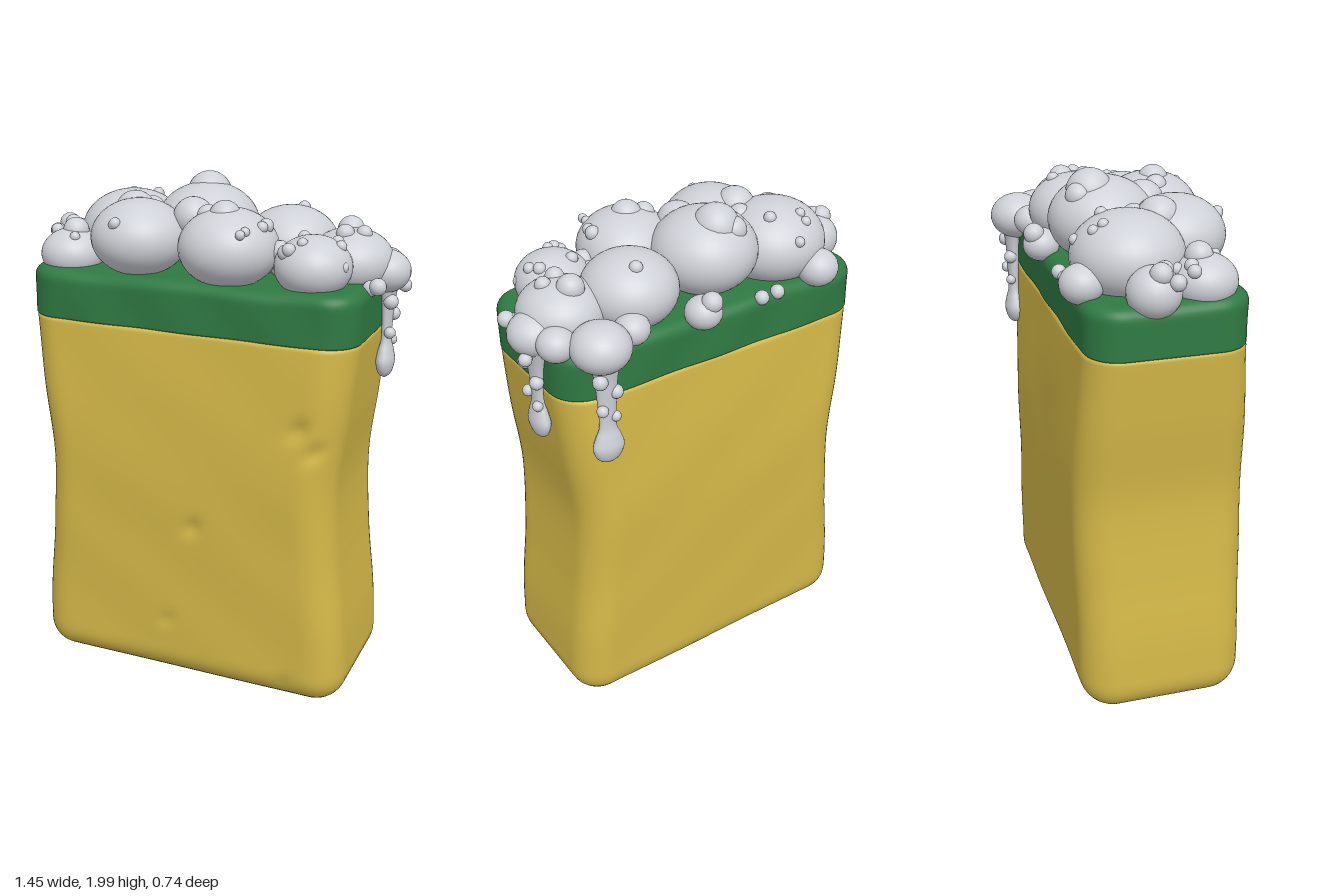
import * as THREE from 'three';

const mat = (name, color) => {
  const m = new THREE.MeshStandardMaterial({ color });
  m.name = name;
  return m;
};

const CX = -0.033, CZ = 0.033; // centre of the sponge in plan

// Points of a rounded rectangle, always the same count, running from +x towards +z
function roundedRing(hx, hz, r) {
  const pts = [];
  const nx = 44, nz = 20, nc = 10;
  const corners = [[1, 1, 0], [-1, 1, 1], [-1, -1, 2], [1, -1, 3]];
  corners.forEach(([sx, sz, q], k) => {
    const at = (s, t, a) => [s * (hx - r) + r * Math.cos(a), t * (hz - r) + r * Math.sin(a)];
    for (let i = 0; i <= nc; i++) pts.push(at(sx, sz, (q + i / nc) * Math.PI / 2));
    const [ex, ez, eq] = corners[(k + 1) % 4];
    const from = pts[pts.length - 1], to = at(ex, ez, eq * Math.PI / 2);
    const n = k % 2 === 0 ? nx : nz;
    for (let i = 1; i < n; i++) {
      pts.push([from[0] + (to[0] - from[0]) * i / n, from[1] + (to[1] - from[1]) * i / n]);
    }
  });
  return pts;
}

// Stacks rounded rectangles into a closed block with filleted bottom and top edges
function softBlock(y0, y1, rBottom, rTop, size, corner, deform) {
  const rows = [];
  for (let i = 0; i <= 8; i++) {
    const a = i / 8 * Math.PI / 2;
    rows.push([y0 + rBottom * (1 - Math.cos(a)), rBottom * (1 - Math.sin(a))]);
  }
  const steps = Math.max(3, Math.round((y1 - y0) * 45));
  const lo = y0 + rBottom, hi = y1 - rTop;
  for (let i = 1; i < steps; i++) rows.push([lo + (hi - lo) * i / steps, 0]);
  for (let i = 0; i <= 6; i++) {
    const a = i / 6 * Math.PI / 2;
    rows.push([hi + rTop * Math.sin(a), rTop * (1 - Math.cos(a))]);
  }
  const pos = [], idx = [];
  let n = 0;
  for (const [y, inset] of rows) {
    const [hx, hz] = size(y);
    const ring = roundedRing(hx - inset, hz - inset, Math.max(corner - inset, 0.01));
    n = ring.length;
    for (const [x, z] of ring) pos.push(...deform(x + CX, y, z + CZ));
  }
  for (let i = 0; i < rows.length - 1; i++) {
    for (let j = 0; j < n; j++) {
      const a = i * n + j, b = i * n + (j + 1) % n;
      idx.push(a, a + n, b, b, a + n, b + n);
    }
  }
  const bottom = pos.length / 3, top = bottom + 1, last = (rows.length - 1) * n;
  pos.push(CX, y0, CZ, CX, y1, CZ);
  for (let j = 0; j < n; j++) {
    const k = (j + 1) % n;
    idx.push(bottom, j, k, top, last + k, last + j);
  }
  const g = new THREE.BufferGeometry();
  g.setAttribute('position', new THREE.Float32BufferAttribute(pos, 3));
  g.setIndex(idx);
  g.computeVertexNormals();
  return g;
}

export function createModel() {
  const group = new THREE.Group();
  const yellow = mat('spongeYellow', 0xd4b848);
  const green = mat('scourerGreen', 0x2f7a43);
  const foam = mat('foamGrey', 0xced1d7);
  const add = (name, geo, material, parent = group) => {
    const m = new THREE.Mesh(geo, material);
    m.name = name;
    parent.add(m);
    return m;
  };

  // Sponge: waisted block, half width and half depth at every 0.3 of height
  const waist = new THREE.CatmullRomCurve3(
    [[0.66, 0.315], [0.645, 0.318], [0.612, 0.322], [0.596, 0.325], [0.629, 0.315], [0.657, 0.296]]
      .map(([hx, hz], i) => new THREE.Vector3(hx, i * 0.3, hz)), false, 'catmullrom', 0.5);
  const spongeSize = (y) => {
    const p = waist.getPoint(THREE.MathUtils.clamp(y / 1.5, 0, 1));
    return [p.x, p.z];
  };
  // Small dents on the front face: x, y, radius, depth
  const dents = [[0.02, 0.7, 0.04, 0.016], [0.44, 1.16, 0.045, 0.018], [0.5, 1.08, 0.04, 0.016],
    [-0.1, 0.27, 0.035, 0.009], [0.4, 0.09, 0.04, 0.01]];
  add('sponge', softBlock(0, 1.475, 0.125, 0.02, spongeSize, 0.13, (x, y, z) => {
    const side = Math.sign(z - CZ);
    let w = z + side * 0.003 * Math.sin(x * 9 + y * 5) * Math.sin(y * 8);
    if (z > 0.2) {
      for (const [dx, dy, r, d] of dents) {
        const u = (x - dx) * 0.8 - (y - dy) * 0.6, v = (x - dx) * 0.6 + (y - dy) * 0.8;
        w -= d * Math.exp(-(u * u * 1.8 + v * v) / (r * r));
      }
    }
    return [x, y, w];
  }), yellow);

  // Scouring layer with a slightly uneven surface
  add('scourerLayer', softBlock(1.468, 1.657, 0.01, 0.045, () => [0.656, 0.298], 0.13,
    (x, y, z) => [x, y + (y > 1.55 ? 0.004 * Math.sin(x * 11 + z * 7) : 0),
      z + Math.sign(z - CZ) * 0.003 * Math.sin(x * 17 + y * 14)]), green);

  // Foam: large squashed bubbles as x, y, z, radius, squash
  const suds = new THREE.Group();
  suds.name = 'foam';
  group.add(suds);
  const bubble = (name, x, y, z, r, squash = 1) => {
    const seg = r > 0.1 ? 36 : r > 0.04 ? 24 : 14;
    const m = add(name, new THREE.SphereGeometry(r, seg, Math.round(seg * 0.67)), foam, suds);
    m.position.set(x, y, z);
    m.scale.y = squash;
  };
  const large = [
    [-0.4, 1.755, -0.055, 0.205, 0.77], [-0.085, 1.8, -0.06, 0.2, 0.79],
    [0.25, 1.75, -0.08, 0.18, 0.78], [-0.27, 1.775, 0.16, 0.185, 0.78],
    [0.1, 1.77, 0.18, 0.187, 0.78], [0.42, 1.725, 0.165, 0.142, 0.8],
    [0.5, 1.715, -0.03, 0.16, 0.75], [-0.555, 1.69, 0.17, 0.122, 0.8],
    [-0.63, 1.69, -0.03, 0.097, 0.95], [-0.48, 1.69, -0.24, 0.08, 0.9],
    [0.48, 1.675, -0.262, 0.11, 0.82], [0.625, 1.68, -0.06, 0.095, 0.84],
    [0.6, 1.68, -0.17, 0.07, 0.9], [0.055, 1.675, -0.26, 0.07, 0.9],
    [0.34, 1.69, -0.24, 0.065, 0.9],
  ];
  for (const b of large) bubble('largeBubble', ...b);

  // Small bubbles rest on the foam: x, z, radius, share of the radius standing proud
  const surface = (x, z) => large.reduce((top, [bx, by, bz, r, s]) => {
    const d = r * r - (x - bx) ** 2 - (z - bz) ** 2;
    return d > 0 ? Math.max(top, by + s * Math.sqrt(d)) : top;
  }, 1.655);
  const medium = [[-0.1, -0.11, 0.088], [-0.325, 0.08, 0.078], [-0.075, 0.1, 0.077],
    [0.09, 0.19, 0.06], [0.02, 0.18, 0.042], [0.3, 0.1, 0.07], [-0.29, 0, 0.045], [-0.14, -0.16, 0.05]];
  for (const [x, z, r] of medium) bubble('mediumBubble', x, surface(x, z) - r * 0.55, z, r);
  const tiny = [
    [-0.45, -0.19, 0.02], [-0.45, -0.155, 0.02], [-0.33, -0.13, 0.024], [-0.386, -0.24, 0.02],
    [-0.285, -0.25, 0.028], [-0.21, -0.255, 0.028], [0.27, -0.16, 0.025], [0.483, -0.077, 0.05],
    [0.49, 0.02, 0.035], [0.552, -0.01, 0.03], [0.615, 0.1, 0.03], [0.494, 0.12, 0.024],
    [0.517, 0.155, 0.022], [0.4, 0.23, 0.02], [0.343, 0.25, 0.028], [0.205, 0.286, 0.018],
    [-0.293, 0.312, 0.022], [-0.513, 0.224, 0.02], [-0.545, 0.155, 0.05], [-0.564, 0.07, 0.024],
    [-0.672, -0.02, 0.04], [-0.645, 0, 0.032], [0.243, 0.175, 0.028], [0.294, 0.165, 0.04],
    [0.367, 0.115, 0.024], [0.24, 0.21, 0.022], [-0.6, 0.11, 0.025], [0.04, -0.29, 0.04]];
  for (const [x, z, r] of tiny) bubble('smallBubble', x, surface(x, z) - r * 0.2, z, r);
  // Beads on the sides of the foam
  for (const [x, y, z, r] of [[-0.3, 1.845, 0.31, 0.02], [0.2, 1.85, 0.32, 0.018], [-0.7, 1.74, 0.03, 0.03],
    [-0.66, 1.76, 0.1, 0.025], [0.645, 1.66, 0.11, 0.032], [0.69, 1.62, -0.11, 0.025],
    [0.36, 1.8, 0.26, 0.025], [0.54, 1.74, 0.2, 0.022]]) bubble('smallBubble', x, y, z, r);

  // Drips: a lathe from the bulb up to the foam, with a few beads alongside
  const drip = (name, x, z, low, turn, scaleX, scaleZ) => {
    const h = 1.64 - low;
    const profile = new THREE.SplineCurve([[0.001, 0], [0.042, 0.02], [0.062, 0.065], [0.05, 0.11],
      [0.034, 0.155], [0.036, 0.23], [0.046, h - 0.07], [0.066, h]].map(([a, b]) => new THREE.Vector2(a, b)));
    const d = new THREE.Group();
    d.name = name;
    d.position.set(x, low, z);
    d.rotation.y = turn;
    group.add(d);
    const body = add('dripBody', new THREE.LatheGeometry(profile.getPoints(32), 24), foam, d);
    body.scale.set(scaleX, 1, scaleZ);
    for (const [bx, by, bz, r] of [[0.02, h - 0.07, 0.035, 0.028], [0.015, h - 0.13, -0.03, 0.026],
      [0.02, h - 0.19, 0.03, 0.022], [0.015, h - 0.23, -0.025, 0.02]]) {
      const bead = add('dripBead', new THREE.SphereGeometry(r, 14, 10), foam, d);
      bead.position.set(bx, by, bz);
    }
  };
  drip('sideDrip', 0.637, -0.075, 1.265, 0, 0.55, 1);
  drip('backDrip', 0.48, -0.29, 1.215, Math.PI / 2, 0.6, 1);

  return group;
}
